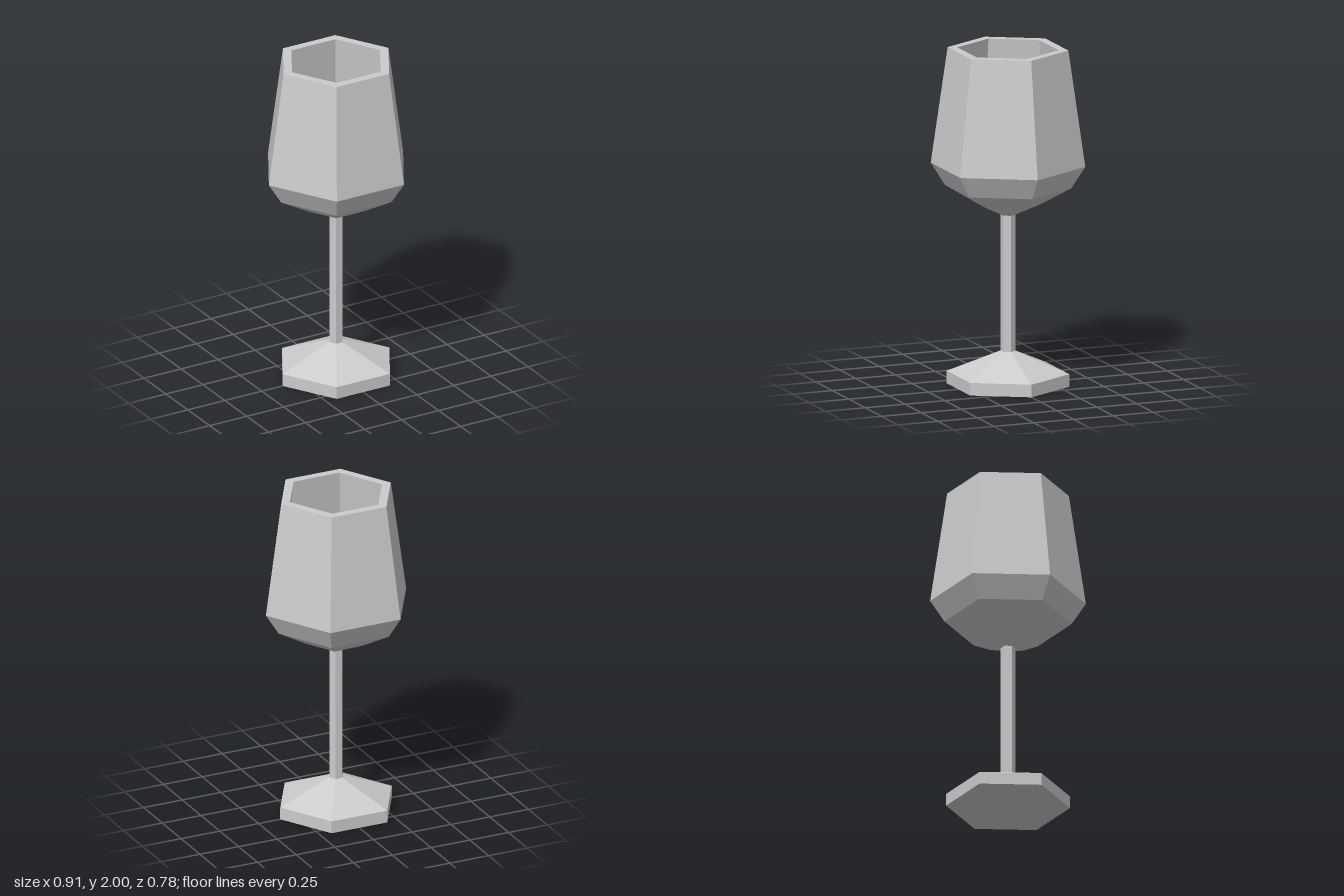
import * as THREE from 'three';

const SIDES = 6;

// Faceted six-sided turning of a [radius, height] profile, corners on the x axis
function turned(name, profile, material) {
  const points = profile.map(([r, y]) => new THREE.Vector2(r, y));
  const geometry = new THREE.LatheGeometry(points, SIDES, Math.PI / 2).toNonIndexed();
  geometry.computeVertexNormals();
  const mesh = new THREE.Mesh(geometry, material);
  mesh.name = name;
  return mesh;
}

export function createModel() {
  const group = new THREE.Group();
  group.name = 'wineGlass';
  const material = new THREE.MeshStandardMaterial({ color: 0xcccccc, flatShading: true });

  // Foot: flat underside, short upright edge, slope up to the stem
  group.add(turned('foot', [[0, 0], [0.36, 0], [0.36, 0.075], [0.043, 0.205]], material));

  // Stem
  group.add(turned('stem', [[0.043, 0.205], [0.043, 1.015]], material));

  // Bowl: outside upwards, over the rim, then down the inside to a flat floor
  group.add(turned('bowl', [
    [0.043, 1.015], [0.19, 1.08], [0.37, 1.18], [0.453, 1.31], [0.354, 2],
    [0.297, 2], [0.39, 1.33], [0.32, 1.21], [0, 1.21],
  ], material));

  return group;
}
